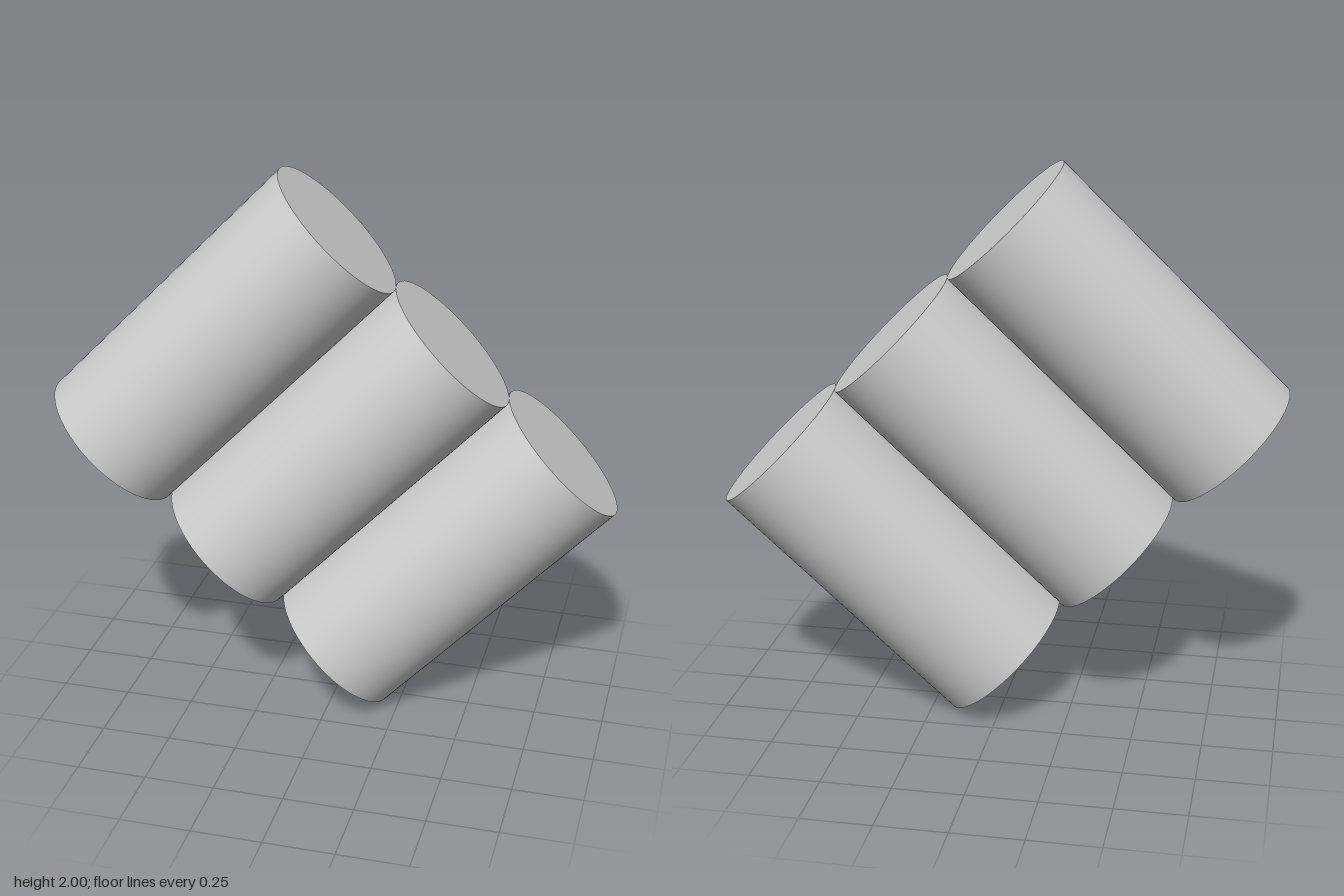
import * as THREE from 'three';

// Three touching cylinders in a row, tilted 45 degrees and turned slightly
export function createModel() {
  const model = new THREE.Group();
  model.name = 'cylinderRow';

  const grey = new THREE.MeshStandardMaterial({ color: 0xcccccc });
  grey.name = 'light grey';

  const diameter = Math.SQRT2 * 0.4;
  const geometry = new THREE.CylinderGeometry(diameter / 2, diameter / 2, diameter * 2, 64);

  // Row centred on its own origin, cylinders side by side along x
  const row = new THREE.Group();
  row.name = 'tiltedRow';
  ['upperCylinder', 'middleCylinder', 'lowerCylinder'].forEach((name, i) => {
    const cylinder = new THREE.Mesh(geometry, grey);
    cylinder.name = name;
    cylinder.position.x = (i - 1) * diameter;
    row.add(cylinder);
  });

  row.rotation.set(0, THREE.MathUtils.degToRad(10), -Math.PI / 4);
  row.position.y = 1;
  model.add(row);
  return model;
}
